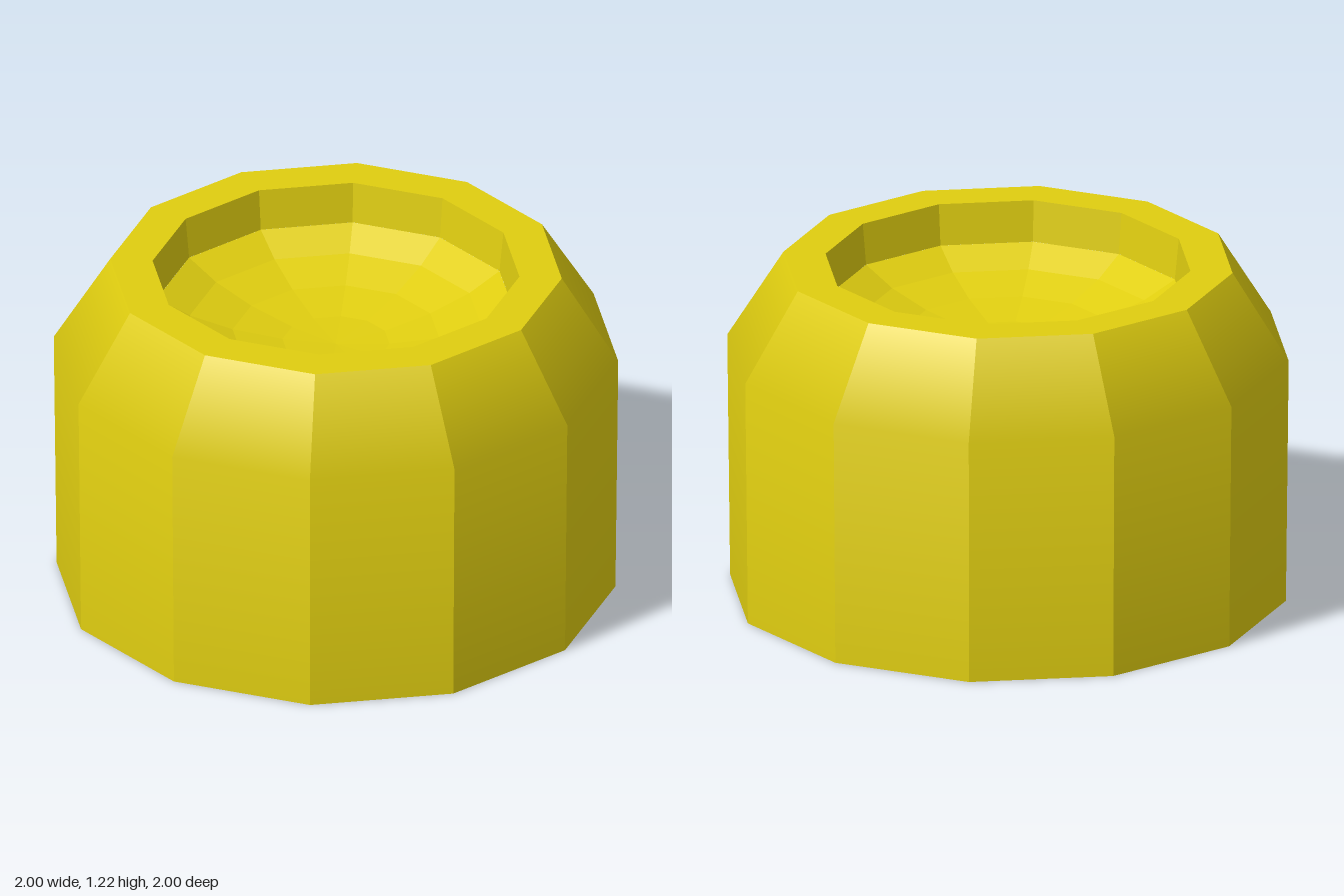
import * as THREE from 'three';

const SIDES = 12;

export function createModel() {
  const group = new THREE.Group();
  group.name = 'dishedStud';
  const smooth = new THREE.MeshStandardMaterial({ color: 0xe0ce10 });
  const flat = new THREE.MeshStandardMaterial({ color: 0xe0ce10, flatShading: true });

  const turned = (points) =>
    new THREE.LatheGeometry(points.map(([r, y]) => new THREE.Vector2(r, y)), SIDES);

  function add(name, geometry, material) {
    const mesh = new THREE.Mesh(geometry, material);
    mesh.name = name;
    group.add(mesh);
  }

  // Normals blend up the profile but stay flat across each of the sides
  function facetAround(geometry) {
    const g = geometry.toNonIndexed();
    const p = g.attributes.position, n = g.attributes.normal;
    for (let i = 0; i < p.count; i += 3) {
      let cx = 0, cz = 0;
      for (let k = i; k < i + 3; k++) {
        const r = Math.hypot(p.getX(k), p.getZ(k));
        cx += p.getX(k) / r;
        cz += p.getZ(k) / r;
      }
      const step = (2 * Math.PI) / SIDES;
      const mid = (Math.floor(Math.atan2(cx, cz) / step) + 0.5) * step;
      for (let k = i; k < i + 3; k++) {
        const h = Math.hypot(n.getX(k), n.getZ(k));
        n.setXYZ(k, h * Math.sin(mid), n.getY(k), h * Math.cos(mid));
      }
    }
    return g;
  }

  // Slightly flared wall with the sloping shoulder
  add('outerWall', facetAround(turned([[0.99, 0], [1, 0.9], [0.8, 1.22]])), smooth);

  // Closed underside
  add('base', turned([[0, 0], [0.99, 0]]), flat);

  // Flat top ring and the short wall inside it
  add('rim', turned([[0.8, 1.22], [0.65, 1.22]]), flat);
  add('recessWall', turned([[0.65, 1.22], [0.635, 1.07]]), flat);

  // Shallow dish: a squashed spherical cap in four rings
  const dish = [];
  for (let i = 4; i >= 0; i--) {
    const a = (i * Math.PI) / 12;
    dish.push([0.733 * Math.sin(a), 0.92 + 0.3 * (1 - Math.cos(a))]);
  }
  add('dish', turned(dish), flat);

  return group;
}
